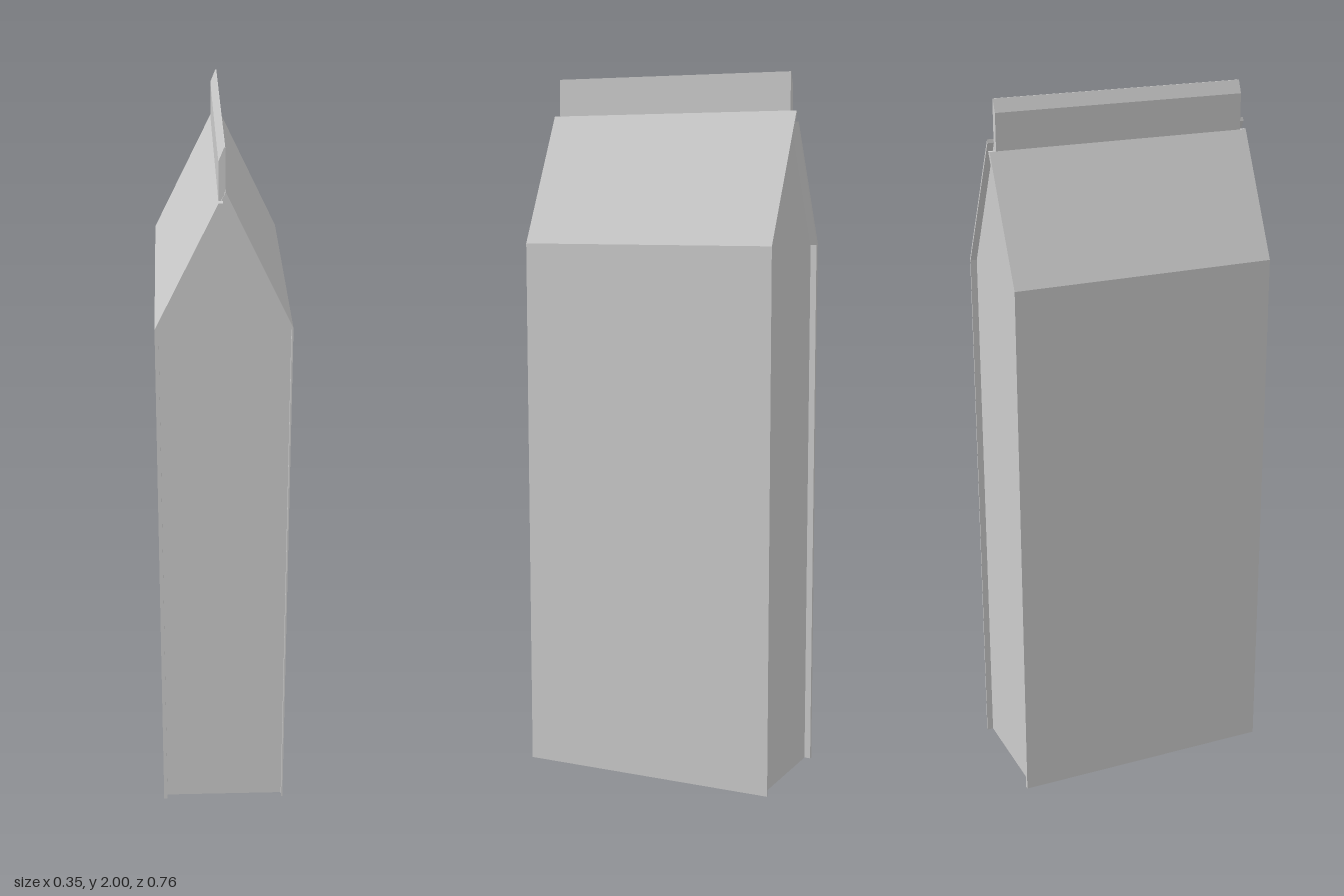
import * as THREE from 'three';

const material = new THREE.MeshStandardMaterial({ color: 0xcccccc, flatShading: true, side: THREE.DoubleSide });

// Extrude an x/y outline along z, centred on z = 0
function prism(name, outline, halfDepth) {
  const shape = new THREE.Shape(outline.map(([x, y]) => new THREE.Vector2(x, y)));
  const geometry = new THREE.ExtrudeGeometry(shape, { depth: halfDepth * 2, bevelEnabled: false });
  geometry.translate(0, 0, -halfDepth);
  const mesh = new THREE.Mesh(geometry, material);
  mesh.name = name;
  return mesh;
}

export function createModel() {
  const carton = new THREE.Group();
  carton.name = 'carton';
  const wallDepth = 0.378, coreDepth = 0.36;

  // Inner box whose gable ends sit slightly inside the side walls
  carton.add(prism('carton body', [
    [-0.168, 0], [0.172, 0], [0.172, 1.525], [0.001, 1.885], [-0.012, 1.855], [-0.168, 1.525],
  ], coreDepth));

  // Side walls, each folding over into its half of the roof
  carton.add(prism('right wall and roof', [
    [-0.178, 0], [-0.168, 0], [-0.168, 1.525], [-0.004, 1.865], [-0.015, 1.865], [-0.178, 1.53],
  ], wallDepth));
  carton.add(prism('left wall and roof', [
    [0.172, 0], [0.176, 0], [0.176, 1.53], [0.002, 1.895], [0, 1.885], [0.172, 1.525],
  ], wallDepth));

  // Sealed top fin with a slanted upper edge
  carton.add(prism('top seal', [
    [-0.015, 1.855], [0.002, 1.885], [0.002, 2], [-0.001, 2], [-0.015, 1.965],
  ], coreDepth));

  return carton;
}
